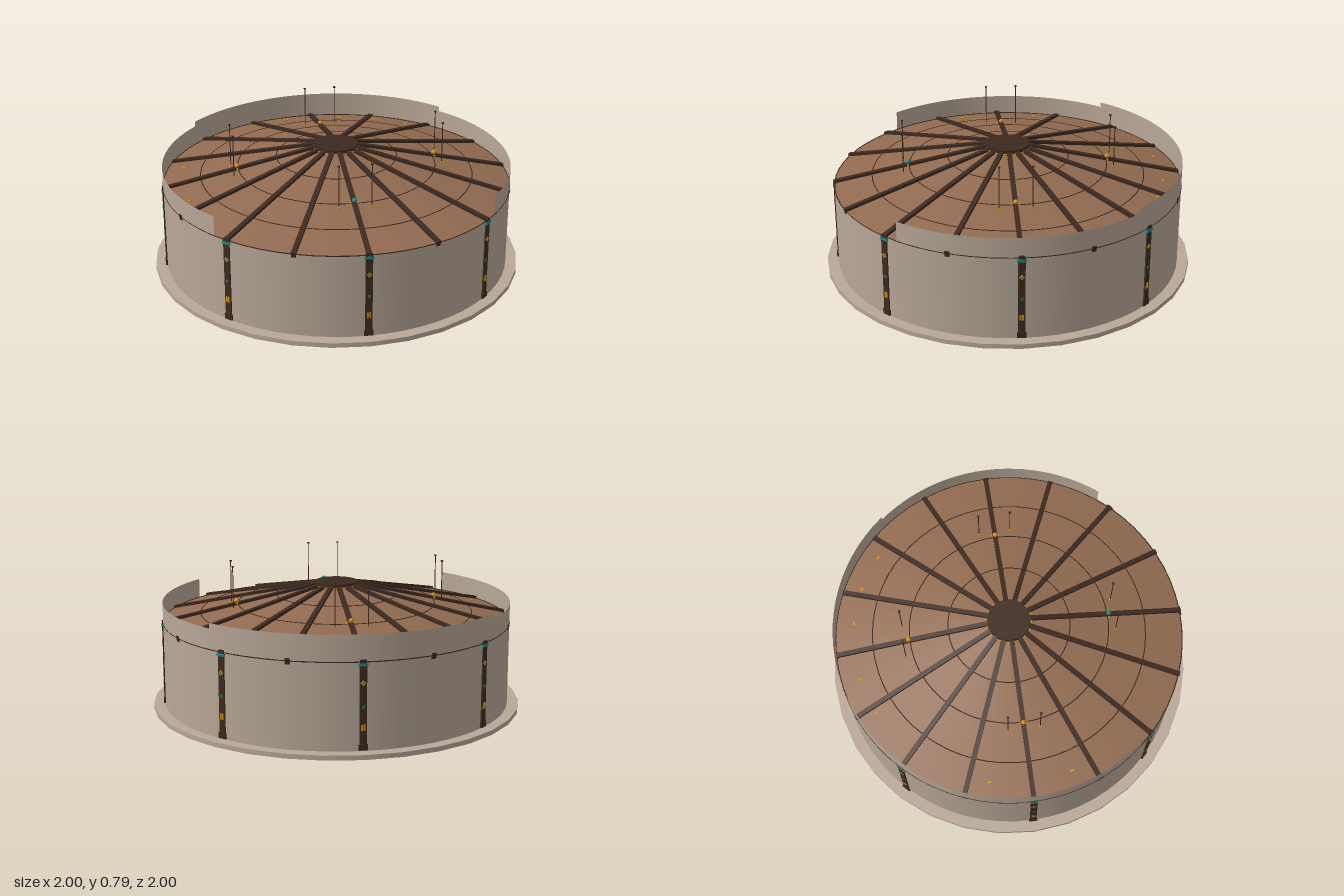
import * as THREE from 'three';

const mat = (name, color, side = THREE.FrontSide) => {
  const m = new THREE.MeshStandardMaterial({ color, side });
  m.name = name;
  return m;
};

const R = 0.938;              // wall radius
const EAVE = 0.472, CROWN = 0.657, HUB = 0.1;
const roofY = (r) => EAVE + (CROWN - EAVE) * (R - r) / (R - HUB);

export function createModel() {
  const stone = mat('stone', 0xb8a898);
  const wallStone = mat('wall stone', 0xb8a898, THREE.DoubleSide);
  const roofWood = mat('roof wood', 0x926b50, THREE.DoubleSide);
  const darkWood = mat('dark wood', 0x3d2a21);
  const gold = mat('gold', 0xd0900f);
  const teal = mat('teal', 0x128a88);
  const green = mat('green', 0x2a7a55);

  const model = new THREE.Group();
  model.name = 'roundHall';
  const add = (name, geometry, material, x = 0, y = 0, z = 0, parent = model) => {
    const mesh = new THREE.Mesh(geometry, material);
    mesh.name = name;
    mesh.position.set(x, y, z);
    parent.add(mesh);
    return mesh;
  };
  // group turned around the vertical axis; its +z points outwards
  const spoke = (name, angle) => {
    const g = new THREE.Group();
    g.name = name;
    g.rotation.y = angle;
    model.add(g);
    return g;
  };
  const ring = (name, r, tube, y, material) => {
    add(name, new THREE.TorusGeometry(r, tube, 4, 64).rotateX(Math.PI / 2), material, 0, y, 0);
  };

  // plinth and drum wall
  add('plinth', new THREE.CylinderGeometry(1, 1, 0.025, 32), stone, 0, 0.0125, 0);
  add('drumWall', new THREE.CylinderGeometry(R, R, 0.45, 64, 1, true), wallStone, 0, 0.25, 0);

  // parapet in three arcs, open at the front and taller at the back
  const parapet = (name, from, to, top) => {
    const a = THREE.MathUtils.degToRad(from), b = THREE.MathUtils.degToRad(to);
    add(name, new THREE.CylinderGeometry(R, R, top - 0.475, 24, 1, true, a, b - a),
      wallStone, 0, (top + 0.475) / 2, 0);
  };
  parapet('leftParapet', 50, 130, 0.582);
  parapet('backParapet', 130, 230, 0.61);
  parapet('rightParapet', 230, 310, 0.582);
  ring('corniceLine', R, 0.003, 0.474, darkWood);

  // conical roof, purlin rings and central hub
  add('roof', new THREE.CylinderGeometry(HUB, R, CROWN - EAVE, 64, 1, true),
    roofWood, 0, (CROWN + EAVE) / 2, 0);
  for (const r of [0.325, 0.533, 0.735]) ring('purlinRing', r, 0.003, roofY(r), darkWood);
  add('hub', new THREE.CylinderGeometry(0.115, 0.115, 0.025, 32), darkWood, 0, 0.665, 0);
  ring('hubGoldRing', 0.12, 0.004, 0.658, gold);

  // sixteen sloping ribs
  const slope = Math.atan2(CROWN - EAVE, R - HUB);
  const ribLength = (R + 0.004 - HUB) / Math.cos(slope);
  const ribGeo = new THREE.BoxGeometry(0.025, 0.03, ribLength).rotateX(slope);
  const ribMid = (R + 0.004 + HUB) / 2;
  for (let i = 0; i < 16; i++) {
    const g = spoke('ribSpoke', i * Math.PI / 8);
    add('rib', ribGeo, darkWood, 0, roofY(ribMid), ribMid, g);
  }

  // eight pilasters with caps, feet and inlays
  for (let i = 0; i < 8; i++) {
    const g = spoke('pilaster', i * Math.PI / 4);
    const face = R + 0.006;
    add('shaft', new THREE.BoxGeometry(0.036, 0.44, 0.016), darkWood, 0, 0.25, face - 0.008, g);
    add('foot', new THREE.BoxGeometry(0.046, 0.03, 0.022), darkWood, 0, 0.045, face - 0.008, g);
    add('capital', new THREE.BoxGeometry(0.046, 0.014, 0.022), teal, 0, 0.462, face - 0.008, g);
    add('topBlock', new THREE.BoxGeometry(0.034, 0.016, 0.016), darkWood, 0, 0.477, face - 0.008, g);
    add('goldDiamond', new THREE.BoxGeometry(0.02, 0.02, 0.004).rotateZ(Math.PI / 4), gold, 0, 0.37, face, g);
    add('tealStud', new THREE.BoxGeometry(0.01, 0.01, 0.007).rotateZ(Math.PI / 4), teal, 0, 0.37, face, g);
    add('greenInlay', new THREE.BoxGeometry(0.014, 0.014, 0.004), green, 0, 0.25, face, g);
    for (const x of [-0.006, 0.006])
      add('goldBar', new THREE.BoxGeometry(0.009, 0.032, 0.004), gold, x, 0.145, face, g);
  }

  // four roof ornaments, each flanked by two slender poles
  for (let i = 0; i < 4; i++) {
    const g = spoke('roofOrnament', i * Math.PI / 2);
    const main = i === 0 ? teal : gold;
    add('boss', new THREE.SphereGeometry(0.013, 10, 8), main, 0, 0.582, 0.54, g);
    for (const x of [-0.02, 0.02])
      add('bossBead', new THREE.SphereGeometry(0.006, 8, 6), gold, x, roofY(0.54) + 0.01, 0.54, g);
    for (const x of [-0.085, 0.085]) {
      add('pole', new THREE.CylinderGeometry(0.0025, 0.0025, 0.23, 6), darkWood, x, 0.672, 0.565, g);
      add('poleTip', new THREE.BoxGeometry(0.012, 0.006, 0.012), darkWood, x, 0.786, 0.565, g);
      add('poleFoot', new THREE.BoxGeometry(0.012, 0.008, 0.012), gold, x, roofY(0.565) + 0.003, 0.565, g);
    }
  }

  // small gold studs near the back and right eaves
  for (const deg of [141, 155, 169, 191, 205, 255, 285]) {
    const g = spoke('eaveStud', THREE.MathUtils.degToRad(deg));
    add('stud', new THREE.BoxGeometry(0.02, 0.008, 0.012), gold, 0, roofY(0.84) + 0.002, 0.84, g);
  }
  return model;
}
